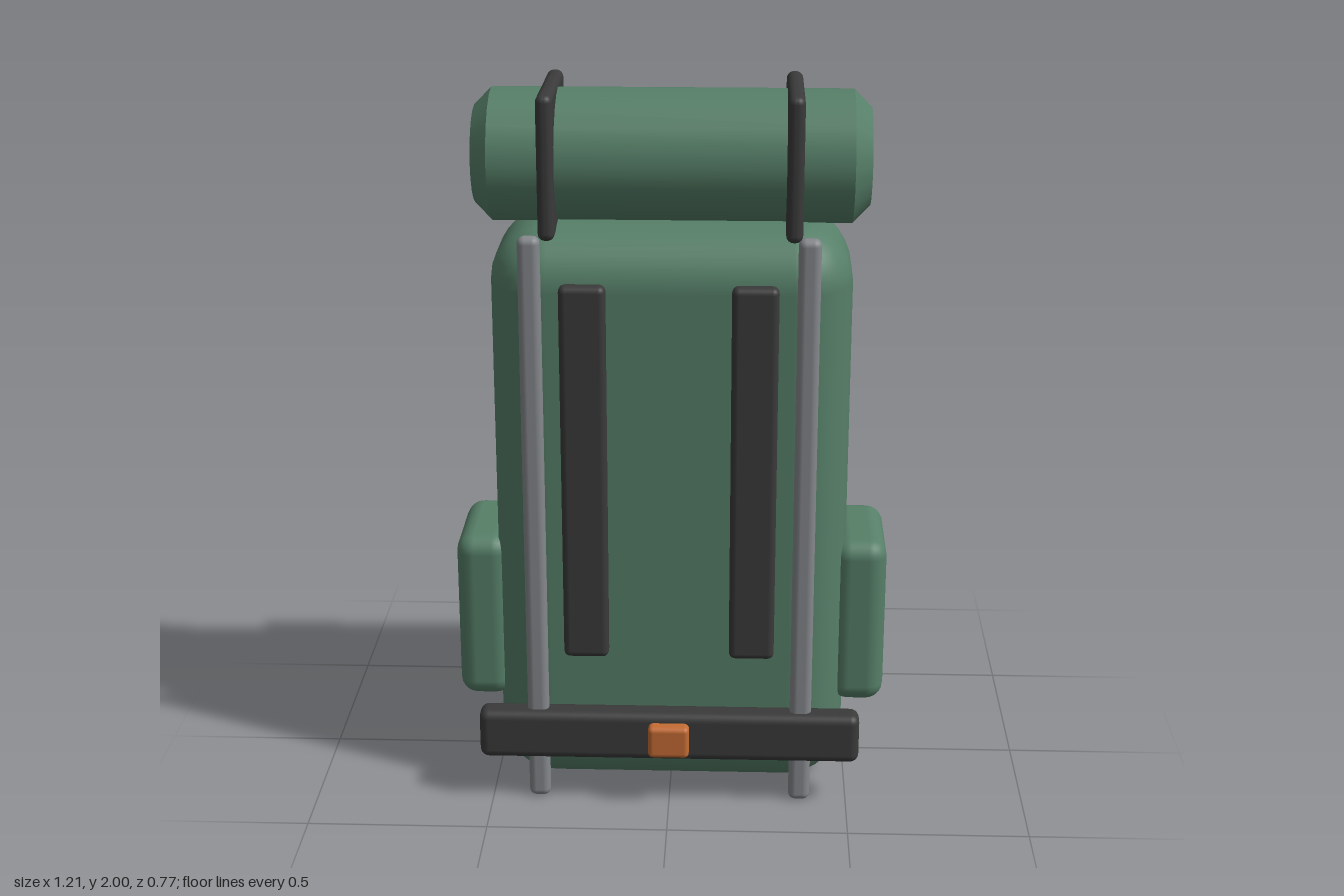
import * as THREE from 'three';
import { RoundedBoxGeometry } from 'three/addons/geometries/RoundedBoxGeometry.js';

const mat = (name, color) => {
  const m = new THREE.MeshStandardMaterial({ color });
  m.name = name;
  return m;
};

export function createModel() {
  const pack = new THREE.Group();
  pack.name = 'backpack';

  const canvas = mat('green canvas', 0x567f68);
  const webbing = mat('dark webbing', 0x3a3a3a);
  const metal = mat('grey metal', 0x85888c);
  const leather = mat('orange leather', 0xc46c34);

  const add = (name, geometry, material, x = 0, y = 0, z = 0) => {
    const mesh = new THREE.Mesh(geometry, material);
    mesh.name = name;
    mesh.position.set(x, y, z);
    pack.add(mesh);
    return mesh;
  };

  // rounded box given by its extents on each axis
  const block = (name, material, [x0, x1], [y0, y1], [z0, z1], radius, segments = 3) =>
    add(name, new RoundedBoxGeometry(x1 - x0, y1 - y0, z1 - z0, segments, radius), material,
      (x0 + x1) / 2, (y0 + y1) / 2, (z0 + z1) / 2);

  // the same block on both sides
  const pair = (name, material, [x0, x1], y, z, radius) => {
    block(name + 'Left', material, [x0, x1], y, z, radius);
    block(name + 'Right', material, [-x1, -x0], y, z, radius);
  };

  // main bag
  block('mainBag', canvas, [-0.49, 0.49], [0.005, 1.64], [-0.2, 0.28], 0.16, 4);

  // side pockets
  pair('sidePocket', canvas, [0.455, 0.605], [0.25, 0.74], [-0.145, 0.195], 0.05);

  // rear pocket with flap, clasp and trim
  block('rearPocket', canvas, [-0.365, 0.365], [0.58, 1.15], [-0.31, -0.2], 0.05);
  block('pocketFlap', canvas, [-0.37, 0.37], [0.965, 1.37], [-0.36, -0.298], 0.03);
  block('flapClasp', leather, [-0.047, 0.047], [0.965, 1.045], [-0.387, -0.345], 0.008, 2);
  add('trimStrip', new THREE.BoxGeometry(0.4, 0.08, 0.009), leather, 0, 1.44, -0.2045);

  // bedroll: barrel with tapered ends
  const roll = new THREE.Group();
  roll.name = 'bedroll';
  roll.position.set(0, 1.805, 0.037);
  roll.rotation.z = -Math.PI / 2;
  const barrel = new THREE.Mesh(new THREE.CylinderGeometry(0.18, 0.18, 0.97, 20, 1, true), canvas);
  barrel.name = 'bedrollBarrel';
  roll.add(barrel);
  for (const side of [1, -1]) {
    const end = new THREE.Mesh(new THREE.CylinderGeometry(0.132, 0.18, 0.047, 20), canvas);
    end.name = 'bedrollEnd';
    end.position.y = side * 0.5085;
    if (side < 0) end.rotation.x = Math.PI;
    roll.add(end);
  }
  pack.add(roll);

  // straps holding the bedroll
  pair('bedrollStrap', webbing, [0.306, 0.351], [1.61, 2], [-0.155, 0.237], 0.02);

  // frame poles and shoulder straps
  pair('framePole', metal, [0.338, 0.398], [0.005, 1.645], [0.281, 0.326], 0.02);
  pair('shoulderStrap', webbing, [0.166, 0.29], [0.455, 1.52], [0.302, 0.351], 0.018);

  // hip belt and buckle
  block('hipBelt', webbing, [-0.533, 0.533], [0.137, 0.281], [0.27, 0.35], 0.025);
  block('hipBuckle', leather, [-0.057, 0.057], [0.163, 0.257], [0.33, 0.385], 0.014);

  return pack;
}
